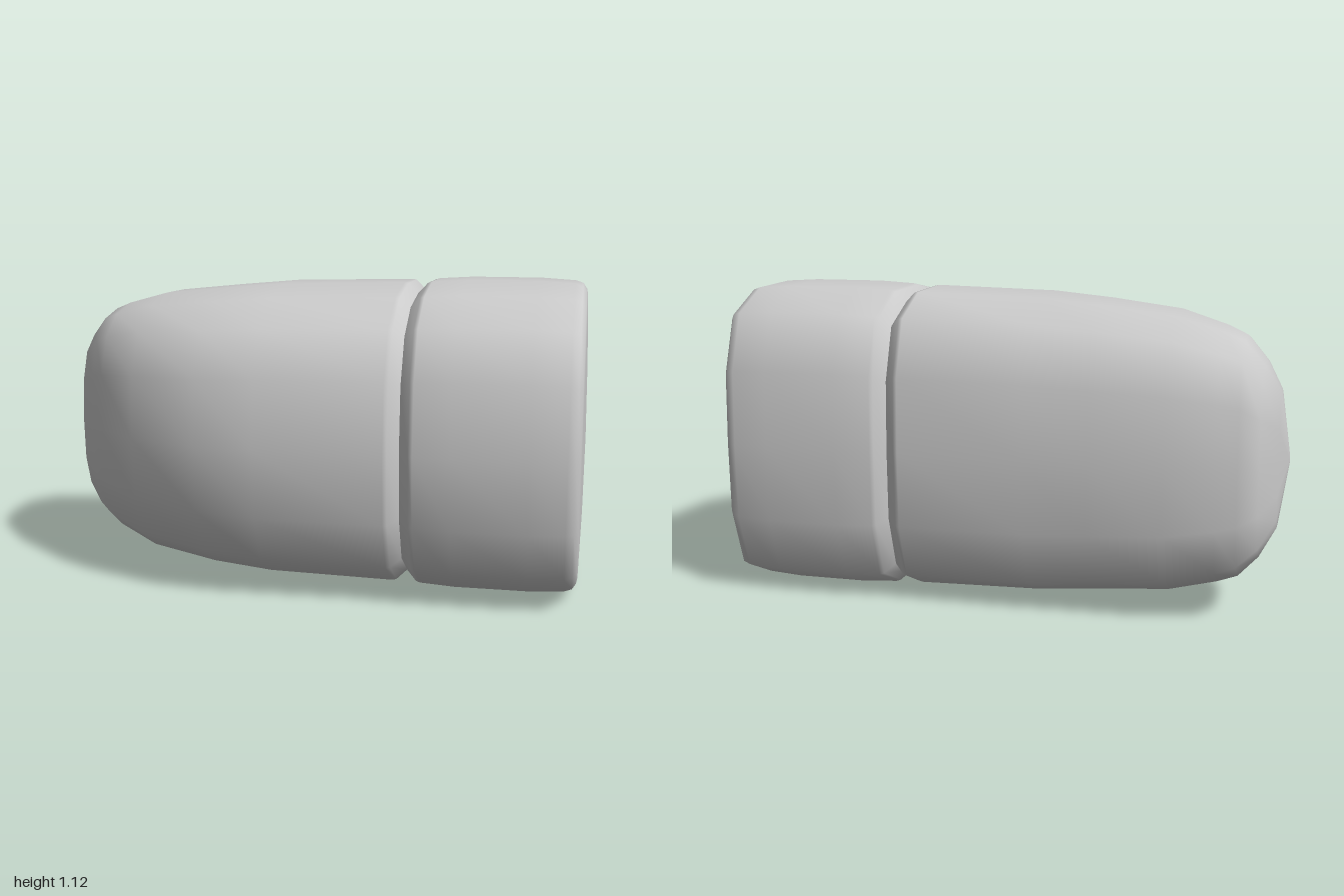
import * as THREE from 'three';

// Cross-section outline as [u, v] in the z-y plane, running from +z over the top to -z
const SECTION = [
  [1, 0], [0.955, 0.455], [0.78, 0.765], [0.452, 0.935], [0, 1], [-0.49, 0.99], [-0.84, 0.85], [-0.985, 0.485],
  [-1, 0], [-0.985, -0.485], [-0.84, -0.85], [-0.49, -0.995], [0, -1], [0.452, -0.945], [0.78, -0.775], [0.955, -0.455],
];
const MID_Y = 0.5625;

// Skins rings of [x, zFront, zBack, halfHeight] into a smooth surface
function loft(name, rings) {
  const n = SECTION.length, positions = [], index = [];
  rings.forEach(([x, zFront, zBack, h], i) => {
    const mid = (zFront + zBack) / 2, half = (zFront - zBack) / 2;
    SECTION.forEach(([u, v], j) => {
      positions.push(x, MID_Y + v * h, mid + u * half);
      if (i === rings.length - 1) return;
      const a = i * n + j, b = i * n + (j + 1) % n;
      index.push(a, a + n, b, b, a + n, b + n);
    });
  });
  const geometry = new THREE.BufferGeometry();
  geometry.setAttribute('position', new THREE.Float32BufferAttribute(positions, 3));
  geometry.setIndex(index);
  geometry.computeVertexNormals();
  const mesh = new THREE.Mesh(geometry, new THREE.MeshStandardMaterial({ color: 0xcccccc }));
  mesh.name = name;
  return mesh;
}

export function createModel() {
  const group = new THREE.Group();
  group.name = 'roundedToe';

  // Long body, its nose swept towards the back
  group.add(loft('toeBody', [
    [-1, -0.245, -0.255, 0.01],
    [-0.965, -0.12, -0.33, 0.24],
    [-0.91, 0.05, -0.45, 0.335],
    [-0.84, 0.14, -0.467, 0.412],
    [-0.77, 0.23, -0.485, 0.44],
    [-0.6, 0.38, -0.515, 0.487],
    [-0.34, 0.49, -0.517, 0.515],
    [-0.12, 0.515, -0.519, 0.535],
    [0.33, 0.507, -0.507, 0.546],
    [0.345, 0.502, -0.503, 0.543],
    [0.382, 0.465, -0.468, 0.508],
  ]));

  // Short end block, from the groove to the softly rounded end face
  group.add(loft('endBlock', [
    [0.382, 0.465, -0.468, 0.508],
    [0.417, 0.503, -0.504, 0.545],
    [0.432, 0.508, -0.509, 0.55],
    [0.56, 0.517, -0.519, 0.5575],
    [0.82, 0.517, -0.517, 0.5575],
    [0.945, 0.508, -0.507, 0.55],
    [0.972, 0.5, -0.498, 0.541],
    [0.986, 0.48, -0.478, 0.52],
    [0.99, 0.46, -0.458, 0.5],
    [0.997, 0.25, -0.25, 0.27],
    [1, 0.005, -0.005, 0.005],
  ]));

  // Closing discs over the tiny openings at both ends
  [[-1, -0.25, -1], [1, 0, 1]].forEach(([x, z, side]) => {
    const disc = new THREE.Mesh(new THREE.CircleGeometry(0.008, 16), new THREE.MeshStandardMaterial({ color: 0xcccccc }));
    disc.rotation.y = side * Math.PI / 2;
    disc.position.set(x, MID_Y, z);
    disc.name = side < 0 ? 'noseTip' : 'endCentre';
    group.add(disc);
  });
  return group;
}
